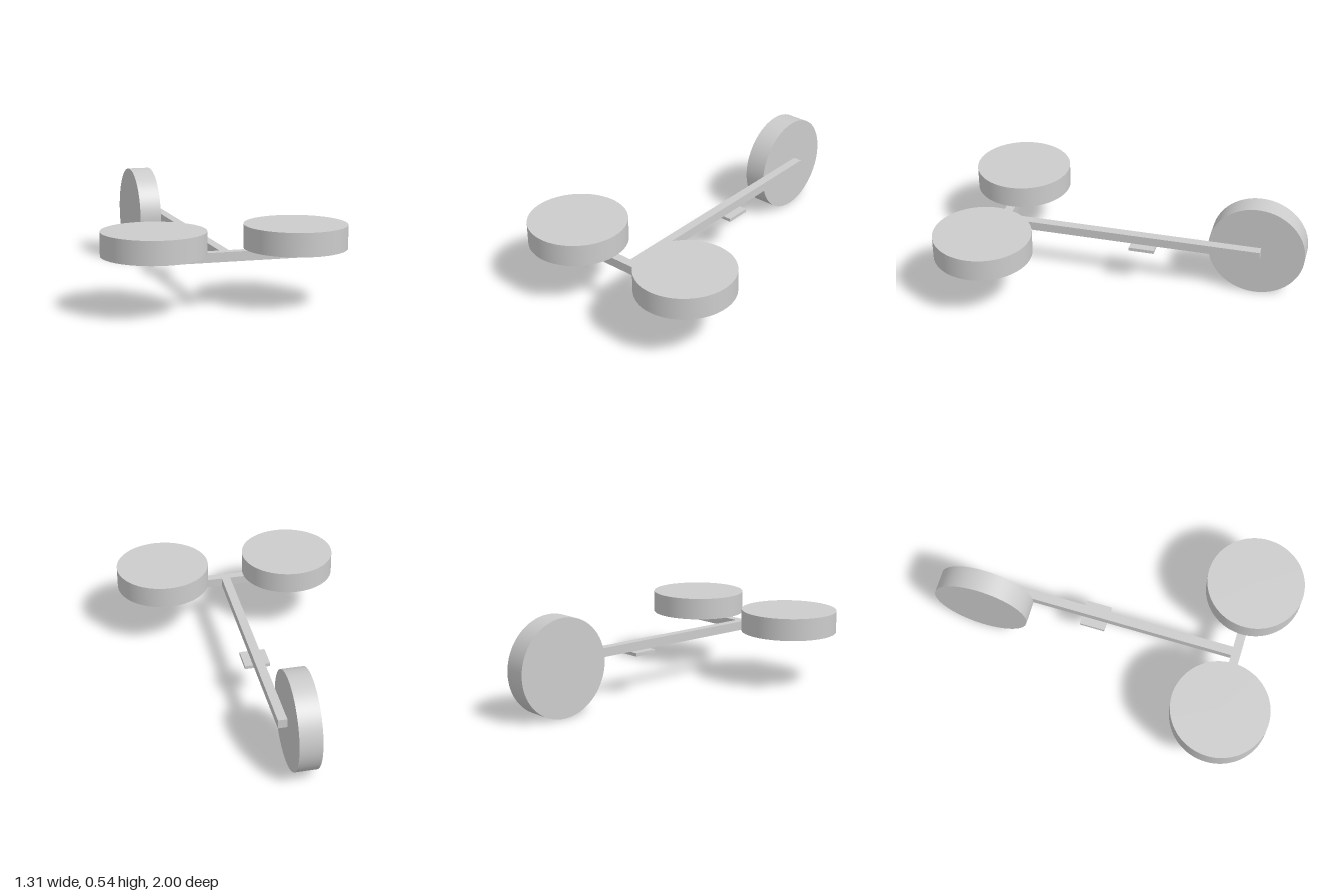
import * as THREE from 'three';

export function createModel() {
  const model = new THREE.Group();
  const material = new THREE.MeshStandardMaterial({ color: 0xcccccc });

  const add = (name, geometry, x, y, z) => {
    const mesh = new THREE.Mesh(geometry, material);
    mesh.name = name;
    mesh.position.set(x, y, z);
    model.add(mesh);
    return mesh;
  };

  const radius = 0.272, thickness = 0.125, bar = 0.051;
  const barY = 0.276, barTop = barY + bar / 2;
  const disc = new THREE.CylinderGeometry(radius, radius, thickness, 96);

  // T-shaped frame: long spine and front crossbar
  add('spine', new THREE.BoxGeometry(bar, bar, 1.458), 0, barY, -0.026);
  add('crossbar', new THREE.BoxGeometry(0.817, bar, bar), 0, barY, 0.728);

  // Flat discs resting on the ends of the crossbar
  for (const [side, name] of [[1, 'leftDisc'], [-1, 'rightDisc']]) {
    add(name, disc, side * 0.382, barTop + thickness / 2, 0.728);
  }

  // Upright wheel against the right side of the spine
  const wheel = add('rearWheel', disc, -(bar + thickness) / 2 - 0.003, radius, -0.728);
  wheel.rotation.z = Math.PI / 2;

  // Small square plate under the spine
  add('underPlate', new THREE.BoxGeometry(0.144, 0.019, 0.144), 0, barY - bar / 2 - 0.0095, -0.094);

  return model;
}
